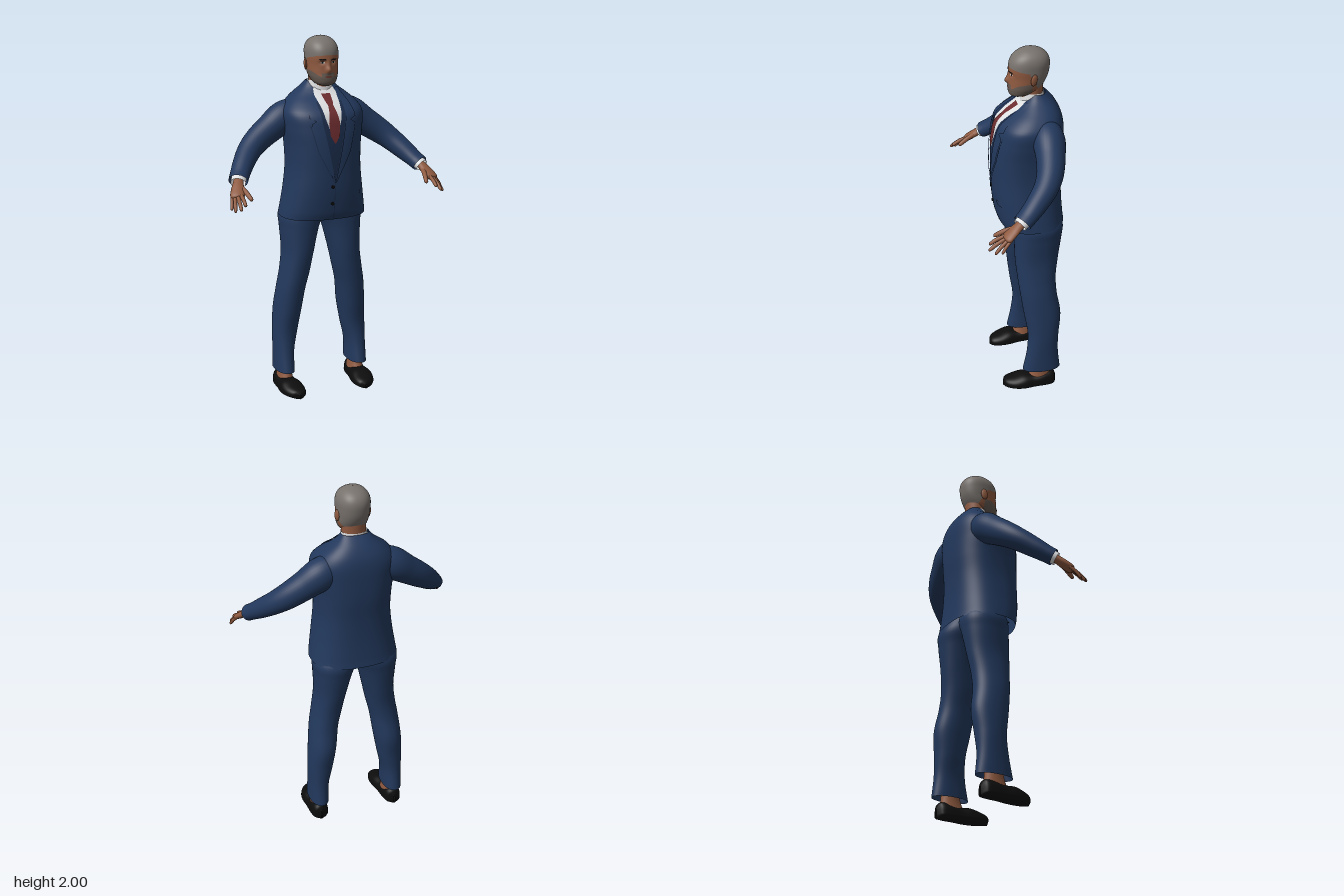
import * as THREE from 'three';

const mat = (name, color) => {
  const m = new THREE.MeshStandardMaterial({ color, side: THREE.DoubleSide });
  m.name = name;
  return m;
};

// Smooth interpolation of rows [key, a, b, ...] at a key
function sample(rows, k) {
  let i = 0;
  while (i < rows.length - 2 && k > rows[i + 1][0]) i++;
  const p = rows[i], q = rows[i + 1], h = q[0] - p[0];
  const t = Math.min(1, Math.max(0, (k - p[0]) / h));
  const before = rows[Math.max(0, i - 1)], after = rows[Math.min(rows.length - 1, i + 2)];
  return p.slice(1).map((a, n) => {
    const b = q[n + 1];
    const m0 = (b - before[n + 1]) / (q[0] - before[0]) * h;
    const m1 = (after[n + 1] - a) / (after[0] - p[0]) * h;
    const t2 = t * t, t3 = t2 * t;
    return (2 * t3 - 3 * t2 + 1) * a + (t3 - 2 * t2 + t) * m0 + (3 * t2 - 2 * t3) * b + (t3 - t2) * m1;
  });
}

// Grid surface from fn(u, v) -> [x, y, z]; pick() sorts faces into material groups
function surface(fn, nu, nv, closed, pick) {
  const pos = [], cols = closed ? nu : nu + 1, bins = [];
  for (let j = 0; j <= nv; j++) for (let i = 0; i < cols; i++) pos.push(...fn(i / nu, j / nv));
  const add = (...tri) => {
    const c = [0, 1, 2].map(d => tri.reduce((s, v) => s + pos[v * 3 + d] / 3, 0));
    const b = pick ? pick(...c) : 0;
    (bins[b] ||= []).push(...tri);
  };
  for (let j = 0; j < nv; j++) for (let i = 0; i < nu; i++) {
    const a = j * cols + i, b = j * cols + (i + 1) % cols, c = a + cols, d = b + cols;
    add(a, c, b);
    add(b, c, d);
  }
  const g = new THREE.BufferGeometry();
  g.setAttribute('position', new THREE.Float32BufferAttribute(pos, 3));
  g.setIndex(bins.flat());
  if (pick) {
    let start = 0;
    bins.forEach((b, n) => { g.addGroup(start, b.length, n); start += b.length; });
  }
  g.computeVertexNormals();
  return g;
}

const pow = (c, n) => Math.sign(c) * Math.abs(c) ** (2 / n);

// Upright body from rows [y, xMin, xMax, zFront, zBack]
function upright(rows, n, nu, nv, bump, pick) {
  const y0 = rows[0][0], y1 = rows[rows.length - 1][0];
  return surface((u, v) => {
    const y = y0 + (y1 - y0) * v, a = u * Math.PI * 2;
    const [l, r, f, b] = sample(rows, y);
    const x = (l + r) / 2 + (r - l) / 2 * pow(Math.cos(a), n);
    const z = (f + b) / 2 + (f - b) / 2 * pow(Math.sin(a), n);
    return [x, y, z + (bump && Math.sin(a) > 0 ? bump(x, y) : 0)];
  }, nu, nv, true, pick);
}

// Front z of an upright body
function frontZ(rows, n, x, y) {
  const [l, r, f, b] = sample(rows, y);
  const s = Math.min(1, Math.abs((x - (l + r) / 2) / ((r - l) / 2)));
  return (f + b) / 2 + (f - b) / 2 * (1 - s ** n) ** (1 / n);
}

// Thin sheet lying on a front surface, from edge rows [y, xLeft, xRight]
function patch(edges, zAt, lift) {
  const y0 = edges[0][0], y1 = edges[edges.length - 1][0];
  return surface((u, v) => {
    const y = y0 + (y1 - y0) * v;
    const k = Math.min(edges.length - 2, Math.max(0, edges.findIndex(e => e[0] >= y) - 1));
    const [p, q] = [edges[k], edges[k + 1]], t = (y - p[0]) / (q[0] - p[0]);
    const l = p[1] + (q[1] - p[1]) * t, r = p[2] + (q[2] - p[2]) * t;
    const x = r + (l - r) * u;
    return [x, y, zAt(x, y) + lift];
  }, 8, 32, false);
}

// Limb along points [x, y, z, width radius, thickness radius]
function limb(points, nu = 20, nv = 30) {
  const rows = points.map((p, i) => [i, ...p]), last = points.length - 1;
  const up = new THREE.Vector3(0, 1, 0), at = k => new THREE.Vector3(...sample(rows, k));
  return surface((u, v) => {
    const k = v * last, a = u * Math.PI * 2, [, , , ra, rb] = sample(rows, k);
    const T = at(Math.min(last, k + 0.05)).sub(at(Math.max(0, k - 0.05))).normalize();
    const A = new THREE.Vector3().crossVectors(T, up).normalize();
    const B = new THREE.Vector3().crossVectors(A, T);
    return at(k).addScaledVector(A, ra * Math.cos(a)).addScaledVector(B, rb * Math.sin(a)).toArray();
  }, nu, nv, true);
}

const sym = rows => rows.map(([y, h, f, b]) => [y, -h, h, f, b]);

const JACKET = sym([
  [1.02, 0.24, 0.1, -0.255], [1.06, 0.234, 0.112, -0.25], [1.18, 0.215, 0.127, -0.242], [1.3, 0.202, 0.13, -0.242],
  [1.42, 0.205, 0.128, -0.25], [1.52, 0.218, 0.117, -0.25], [1.6, 0.222, 0.095, -0.246], [1.65, 0.19, 0.045, -0.235],
  [1.69, 0.145, -0.012, -0.215], [1.725, 0.1, -0.045, -0.188], [1.757, 0.074, -0.065, -0.155]]);
const HEAD = sym([
  [1.738, 0.02, 0.012, -0.02], [1.75, 0.052, 0.032, -0.07], [1.78, 0.073, 0.039, -0.125], [1.81, 0.081, 0.036, -0.15],
  [1.85, 0.084, 0.034, -0.17], [1.89, 0.087, 0.036, -0.179], [1.93, 0.087, 0.03, -0.18], [1.96, 0.077, 0.012, -0.168],
  [1.982, 0.057, -0.016, -0.143], [1.994, 0.034, -0.042, -0.112], [2.0, 0.002, -0.072, -0.08]]);
const LEG = [
  [0.112, 0.168, 0.274, 0.002, -0.212], [0.23, 0.163, 0.274, -0.022, -0.2], [0.34, 0.14, 0.275, -0.03, -0.204],
  [0.47, 0.118, 0.268, -0.01, -0.216], [0.6, 0.1, 0.254, 0.008, -0.196], [0.7, 0.077, 0.237, 0.02, -0.194],
  [0.815, 0.053, 0.223, 0.03, -0.21], [0.95, 0.018, 0.23, 0.031, -0.23], [1.02, -0.01, 0.233, 0.03, -0.236],
  [1.1, -0.01, 0.19, 0.02, -0.2]];

export function createModel() {
  const M = {
    navy: mat('navy suit', 0x22385c), vest: mat('dark navy', 0x1a2b49), skin: mat('skin', 0x8f5a40),
    hair: mat('grey cropped hair', 0x78726d), beard: mat('grey beard', 0x665a52), white: mat('white shirt', 0xdfe0e2),
    tie: mat('red tie', 0x6c2c2e), black: mat('black', 0x0d0d0e), lips: mat('lips', 0x68392f),
  };
  const model = new THREE.Group();
  model.name = 'manInSuit';
  const add = (parent, name, geo, m) => {
    const mesh = new THREE.Mesh(geo, m);
    mesh.name = name;
    parent.add(mesh);
    return mesh;
  };

  // Head with nose and brow relief, split into skin, hair and beard
  const nose = (x, y) => 0.021 * Math.exp(-((x / 0.013) ** 2) - ((y - 1.828) / 0.018) ** 2)
    + 0.008 * Math.exp(-((x / 0.01) ** 2) - ((y - 1.855) / 0.02) ** 2)
    - 0.008 * Math.exp(-(((Math.abs(x) - 0.031) / 0.015) ** 2) - ((y - 1.867) / 0.011) ** 2);
  const region = (x, y, z) => {
    const line = z > -0.06 ? 1.885 + (z + 0.06) * 0.22 : Math.max(1.785, 1.885 - (-0.06 - z) * 1.9);
    if (y > line) return 1;
    const moustache = y < 1.81 && Math.abs(x) < 0.036 && z > 0;
    return z > -0.075 && (y < 1.79 + Math.max(0, Math.abs(x) - 0.04) * 0.8 || moustache) ? 2 : 0;
  };
  add(model, 'head', upright(HEAD, 2.2, 96, 90, nose, region), [M.skin, M.hair, M.beard]);
  const faceZ = (x, y) => frontZ(HEAD, 2.2, x, y) + nose(x, y);
  add(model, 'mouth', patch([[1.786, -0.012, 0.012], [1.791, -0.024, 0.024], [1.796, -0.012, 0.012]], faceZ, 0.002), M.lips);

  // Neck and shirt collar
  add(model, 'neck', upright(sym([[1.62, 0.07, -0.03, -0.16], [1.72, 0.064, -0.03, -0.146], [1.83, 0.066, -0.03, -0.15]]), 2, 32, 10), M.skin);
  add(model, 'shirtCollar', upright(sym([[1.66, 0.08, -0.02, -0.16], [1.762, 0.069, -0.035, -0.15]]), 2, 32, 6), M.white);

  // Jacket and the layers on its chest
  add(model, 'jacket', upright(JACKET, 2.5, 72, 60), M.navy);
  const chestZ = (x, y) => frontZ(JACKET, 2.5, x, y);
  add(model, 'waistcoat', patch([[1.24, -0.002, 0.002], [1.6, -0.075, 0.075], [1.66, -0.075, 0.075]], chestZ, 0.002), M.vest);
  add(model, 'shirtFront', patch([[1.45, -0.003, 0.003], [1.58, -0.046, 0.046], [1.7, -0.066, 0.066], [1.735, -0.05, 0.05]], chestZ, 0.004), M.white);
  add(model, 'tie', patch([[1.45, -0.004, 0.004], [1.49, -0.027, 0.027], [1.56, -0.031, 0.031], [1.645, -0.014, 0.014],
    [1.655, -0.02, 0.02], [1.695, -0.026, 0.026]], chestZ, 0.009), M.tie);
  add(model, 'frontSeam', patch([[1.025, -0.002, 0.002], [1.24, -0.002, 0.002]], chestZ, 0.002), M.vest);
  for (const y of [1.21, 1.115]) {
    const button = add(model, 'button', new THREE.CylinderGeometry(0.009, 0.009, 0.008, 16).rotateX(Math.PI / 2), M.black);
    button.position.set(-0.012, y, chestZ(0, y) + 0.003);
  }

  // Everything on the left half is mirrored for the right
  for (const side of [1, -1]) {
    const half = new THREE.Group();
    half.name = side > 0 ? 'leftSide' : 'rightSide';
    half.scale.x = side;
    model.add(half);

    // Face details
    add(half, 'eyebrow', patch([[1.878, 0.013, 0.045], [1.886, 0.016, 0.05]], faceZ, 0.003), M.black);
    add(half, 'eyeWhite', patch([[1.862, 0.024, 0.037], [1.866, 0.019, 0.043], [1.871, 0.024, 0.037]], faceZ, 0.002), M.white);
    add(half, 'iris', patch([[1.861, 0.026, 0.036], [1.872, 0.025, 0.037]], faceZ, 0.003), M.black);
    const ear = add(half, 'ear', new THREE.SphereGeometry(1, 16, 12), M.skin);
    ear.scale.set(0.009, 0.032, 0.019);
    ear.position.set(0.087, 1.85, -0.082);
    ear.rotation.set(-0.15, 0.3, 0);

    // Notched lapel and breast seam
    add(half, 'lapel', patch([[1.235, 0, 0.005], [1.4, 0.034, 0.09], [1.55, 0.064, 0.128], [1.57, 0.067, 0.095],
      [1.585, 0.069, 0.135], [1.65, 0.074, 0.118], [1.72, 0.06, 0.088]], chestZ, 0.009), M.navy);
    add(half, 'lapelEdge', patch([[1.235, 0.004, 0.007], [1.4, 0.088, 0.093], [1.55, 0.127, 0.132]], chestZ, 0.004), M.vest);
    add(half, 'pocketFlap', patch([[1.145, 0.09, 0.165], [1.175, 0.088, 0.168]], chestZ, 0.004), M.navy);

    // Sleeve and cuff
    add(half, 'sleeve', limb([[0.09, 1.6, -0.125, 0.06, 0.07], [0.19, 1.56, -0.135, 0.085, 0.088], [0.28, 1.502, -0.126, 0.077, 0.078],
      [0.36, 1.447, -0.105, 0.07, 0.07], [0.42, 1.398, -0.068, 0.064, 0.062], [0.475, 1.342, -0.005, 0.057, 0.054],
      [0.51, 1.303, 0.045, 0.053, 0.046], [0.53, 1.28, 0.078, 0.052, 0.044]], 32, 50), M.navy);
    add(half, 'cuff', limb([[0.51, 1.303, 0.045, 0.04, 0.034], [0.536, 1.272, 0.092, 0.041, 0.034]], 24, 4), M.white);

    // Hand
    const hand = new THREE.Group();
    hand.name = 'hand';
    half.add(hand);
    add(hand, 'palm', limb([[0.51, 1.303, 0.045, 0.026, 0.022], [0.535, 1.272, 0.092, 0.028, 0.021], [0.55, 1.245, 0.13, 0.036, 0.02],
      [0.564, 1.219, 0.166, 0.036, 0.016], [0.568, 1.211, 0.178, 0.002, 0.002]]), M.skin);
    const fingers = [
      ['littleFinger', [0.586, 1.215, 0.148], [0.607, 1.158, 0.198], 0.009], ['ringFinger', [0.576, 1.215, 0.16], [0.597, 1.154, 0.232], 0.01],
      ['middleFinger', [0.563, 1.217, 0.17], [0.573, 1.166, 0.26], 0.0105], ['indexFinger', [0.546, 1.224, 0.172], [0.547, 1.186, 0.253], 0.0105],
      ['thumb', [0.53, 1.256, 0.115], [0.502, 1.205, 0.222], 0.013]];
    for (const [name, a, b, r] of fingers) {
      const on = (t, lift, s) => [...a.map((c, i) => c + (b[i] - c) * t + (i === 1 ? lift : 0)), r * s, r * s];
      add(hand, name, limb([on(-0.15, 0, 1), on(0.45, 0.006, 1), on(0.85, 0.002, 0.88), on(0.96, 0, 0.6), on(1, 0, 0.05)], 12, 16), M.skin);
    }

    // Trouser leg, ankle and shoe
    add(half, 'trouserLeg', upright(LEG, 2.2, 40, 60), M.navy);
    add(half, 'ankle', upright([[0.05, 0.172, 0.262, -0.02, -0.165], [0.1, 0.178, 0.258, -0.045, -0.16], [0.2, 0.18, 0.258, -0.06, -0.15]], 2, 24, 8), M.skin);
    const shoe = [[-0.187, 0.222, 0.004, 0.05], [-0.175, 0.222, 0.036, 0.082], [-0.13, 0.221, 0.051, 0.088], [-0.06, 0.219, 0.056, 0.074],
      [0, 0.216, 0.065, 0.076], [0.05, 0.211, 0.062, 0.062], [0.09, 0.205, 0.046, 0.05], [0.108, 0.202, 0.027, 0.04], [0.115, 0.2, 0.003, 0.025]];
    add(half, 'shoe', surface((u, v) => {
      const z = -0.187 + 0.302 * v, a = u * Math.PI * 2, s = pow(Math.sin(a), 2.6);
      const [cx, w, top] = sample(shoe, z);
      return [cx - w * pow(Math.cos(a), 2.6), 0.02 + s * (s > 0 ? top - 0.02 : 0.02), z];
    }, 32, 36, true), M.black);
  }
  return model;
}
